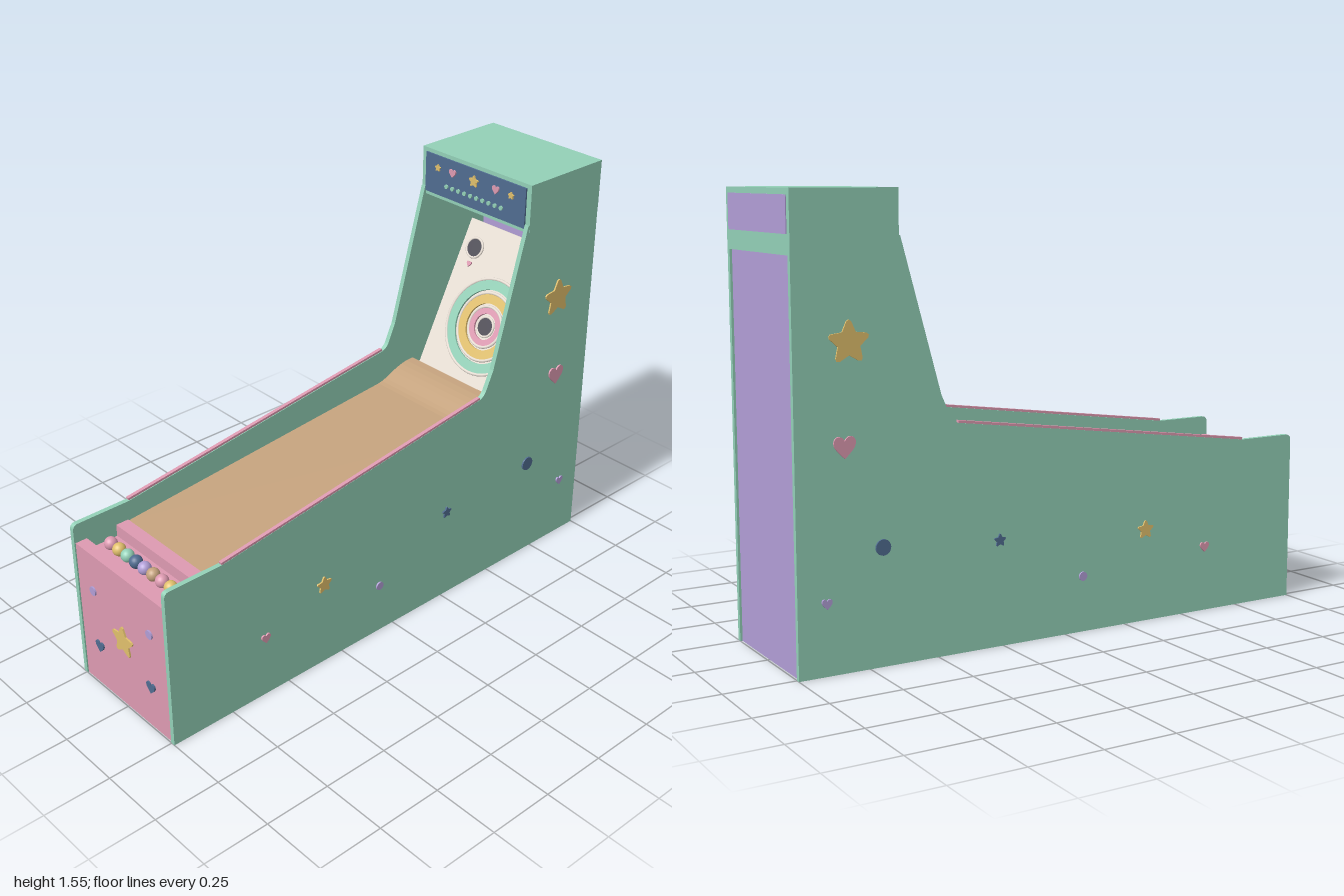
import * as THREE from 'three';

const paint = (name, color) => new THREE.MeshStandardMaterial({ name, color });
const mint = paint('mint', 0x93d0b7);
const pink = paint('pink', 0xdd9ab1);
const lavender = paint('lavender', 0xb19ed6);
const cream = paint('cream', 0xe8dfd5);
const wood = paint('wood', 0xc4a27d);
const navy = paint('navy', 0x506c90);
const gold = paint('gold', 0xe0bf6c);
const charcoal = paint('charcoal', 0x4a4852);

function add(parent, name, geometry, material, x = 0, y = 0, z = 0) {
  const mesh = new THREE.Mesh(geometry, material);
  mesh.name = name;
  mesh.position.set(x, y, z);
  parent.add(mesh);
  return mesh;
}

// Box given by its extents along each axis
function block(parent, name, material, [x0, x1], [y0, y1], [z0, z1]) {
  return add(parent, name, new THREE.BoxGeometry(x1 - x0, y1 - y0, z1 - z0), material,
    (x0 + x1) / 2, (y0 + y1) / 2, (z0 + z1) / 2);
}

// Extrude a (z, y) outline across the cabinet, from x0 to x1
function acrossX(shape, x0, x1) {
  const g = new THREE.ExtrudeGeometry(shape, { depth: x1 - x0, bevelEnabled: false, curveSegments: 8 });
  return g.rotateY(-Math.PI / 2).translate(x1, 0, 0);
}

// Flat decoration outlines of radius r
function starShape(r) {
  const pts = [];
  for (let i = 0; i < 10; i++) {
    const a = Math.PI / 2 + i * Math.PI / 5;
    const k = i % 2 ? r * 0.56 : r;
    if (i % 2) pts.push(new THREE.Vector2(Math.cos(a) * k, Math.sin(a) * k));
    else for (const d of [-0.12, 0, 0.12]) {
      const q = d ? k * 0.94 : k;
      pts.push(new THREE.Vector2(Math.cos(a + d) * q, Math.sin(a + d) * q));
    }
  }
  return new THREE.Shape(pts);
}

function heartShape(r) {
  const s = new THREE.Shape();
  s.moveTo(0, -r);
  s.bezierCurveTo(r * 0.5, -r * 0.5, r, -r * 0.1, r, r * 0.35);
  s.bezierCurveTo(r, r * 1.05, r * 0.15, r * 1.05, 0, r * 0.45);
  s.bezierCurveTo(-r * 0.15, r * 1.05, -r, r * 1.05, -r, r * 0.35);
  s.bezierCurveTo(-r, -r * 0.1, -r * 0.5, -r * 0.5, 0, -r);
  return s;
}

const dotShape = (r) => new THREE.Shape().absarc(0, 0, r, 0, Math.PI * 2);

function plate(shape, depth = 0.006) {
  return new THREE.ExtrudeGeometry(shape, { depth, bevelEnabled: false, curveSegments: 10 });
}

function ring(outer, inner, depth) {
  const s = dotShape(outer);
  s.holes.push(new THREE.Path().absarc(0, 0, inner, 0, Math.PI * 2, true));
  return new THREE.ExtrudeGeometry(s, { depth, bevelEnabled: false, curveSegments: 32 });
}

export function createModel() {
  const model = new THREE.Group();
  model.name = 'arcadeBallRoller';
  const W = 0.265, IN = 0.247;

  // Side panels, with their decorations and sloping rail trim
  const side = new THREE.Shape();
  side.moveTo(1, 0);
  side.lineTo(1, 0.6);
  side.quadraticCurveTo(1, 0.622, 0.978, 0.622);
  side.lineTo(0.77, 0.622);
  side.lineTo(-0.42, 0.783);
  side.quadraticCurveTo(-0.44, 0.79, -0.45, 0.81);
  side.lineTo(-0.482, 0.88);
  side.lineTo(-0.625, 1.4);
  side.lineTo(-1, 1.4);
  side.lineTo(-1, 0);
  const decorations = [
    ['largeStar', starShape(0.072), gold, -0.81, 1.07],
    ['heart', heartShape(0.038), pink, -0.83, 0.74],
    ['dot', dotShape(0.027), navy, -0.7, 0.4],
    ['smallStar', starShape(0.023), navy, -0.265, 0.37],
    ['smallHeart', heartShape(0.018), lavender, -0.9, 0.24],
    ['smallDot', dotShape(0.016), lavender, 0.07, 0.2],
    ['star', starShape(0.034), gold, 0.335, 0.335],
    ['smallHeart', heartShape(0.019), pink, 0.6, 0.24],
  ];
  for (const s of [1, -1]) {
    const label = s > 0 ? 'left' : 'right';
    add(model, label + 'SidePanel', acrossX(side, s > 0 ? IN : -W, s > 0 ? W : -IN), mint);
    for (const [name, shape, mat, z, y] of decorations) {
      add(model, label + 'Side_' + name, plate(shape), mat, s * W, y, z).rotation.y = s * Math.PI / 2;
    }
    const trim = add(model, label + 'RailTrim', new THREE.BoxGeometry(0.014, 0.01, 1.2), pink, s * 0.257, 0.706, 0.175);
    trim.rotation.x = Math.atan2(0.161, 1.19);
  }

  // Front box with an open ball trough on top
  const trough = new THREE.Shape([
    [0.995, 0], [0.995, 0.55], [0.95, 0.55], [0.95, 0.505], [0.83, 0.505], [0.83, 0.55], [0.78, 0.55], [0.78, 0],
  ].map(([z, y]) => new THREE.Vector2(z, y)));
  add(model, 'frontBox', acrossX(trough, -IN, IN), pink);
  const ballColors = [pink, gold, mint, navy, lavender, wood];
  for (let i = 0; i < 9; i++) {
    add(model, 'ball', new THREE.SphereGeometry(0.024, 20, 14), ballColors[i % 6], (i - 4) * 0.0485, 0.529, 0.89);
  }
  add(model, 'frontStar', plate(starShape(0.06)), gold, 0, 0.28, 0.995);
  for (const s of [1, -1]) {
    add(model, 'frontDot', plate(dotShape(0.017)), lavender, s * 0.16, 0.4, 0.995);
    add(model, 'frontHeart', plate(heartShape(0.023)), navy, s * 0.148, 0.172, 0.995);
  }

  // Wooden lane ending in a curved jump
  const lane = new THREE.Shape();
  lane.moveTo(0.78, 0.545);
  lane.lineTo(-0.4, 0.65);
  lane.bezierCurveTo(-0.45, 0.655, -0.49, 0.7, -0.58, 0.7);
  lane.lineTo(-0.58, 0.64);
  lane.lineTo(-0.4, 0.62);
  lane.lineTo(0.78, 0.515);
  add(model, 'lane', acrossX(lane, -IN, IN), wood);
  block(model, 'gutter', charcoal, [-IN, IN], [0.61, 0.63], [-0.68, -0.57]);

  // Leaning target board
  const board = new THREE.Group();
  board.name = 'targetBoard';
  board.position.set(0, 0.95, -0.76);
  board.rotation.x = -0.464;
  model.add(board);
  block(board, 'boardPanel', cream, [-IN, IN], [-0.33, 0.28], [-0.02, 0]);
  const cy = -0.083;
  for (const [name, outer, inner, mat] of [
    ['outerRing', 0.184, 0.142, mint], ['middleRing', 0.13, 0.09, gold], ['innerRing', 0.078, 0.05, pink],
  ]) {
    add(board, name, ring(outer, inner, 0.008), mat, 0, cy, 0);
    add(board, name + 'Rim', new THREE.TorusGeometry(outer, 0.006, 8, 48), cream, 0, cy, 0.006);
  }
  for (const [x, y] of [[0, cy], [0.18, 0.178], [-0.18, 0.178]]) {
    add(board, 'hole', plate(dotShape(0.037), 0.006), charcoal, x, y, 0);
    add(board, 'holeRim', new THREE.TorusGeometry(0.038, 0.005, 8, 32), cream, x, y, 0.004);
    if (x) add(board, 'boardHeart', plate(heartShape(0.011)), pink, x, 0.113, 0);
  }

  // Back panel, header box and its sign
  block(model, 'backPanel', lavender, [-IN, IN], [0, 1.345], [-0.992, -0.95]);
  block(model, 'backPanelTop', lavender, [-IN, IN], [1.345, 1.372], [-0.96, -0.95]);
  block(model, 'header', mint, [-W - 0.001, W + 0.001], [1.37, 1.55], [-1, -0.63]);
  block(model, 'headerBackRail', mint, [-IN, IN], [1.345, 1.37], [-1, -0.96]);
  block(model, 'headerBackStrip', lavender, [-0.245, 0.245], [1.41, 1.53], [-1.003, -1]);
  block(model, 'headerSign', navy, [-0.245, 0.245], [1.385, 1.535], [-0.63, -0.624]);
  const signZ = -0.624;
  add(model, 'signStar', plate(starShape(0.023)), gold, 0, 1.49, signZ);
  for (const s of [1, -1]) {
    add(model, 'signHeart', plate(heartShape(0.016)), pink, s * 0.106, 1.49, signZ);
    add(model, 'signSmallStar', plate(starShape(0.014)), gold, s * 0.18, 1.49, signZ);
  }
  for (let i = 0; i < 10; i++) {
    add(model, 'signLight', plate(dotShape(0.008)), mint, (i - 4.5) * 0.03, 1.43, signZ);
  }
  return model;
}
